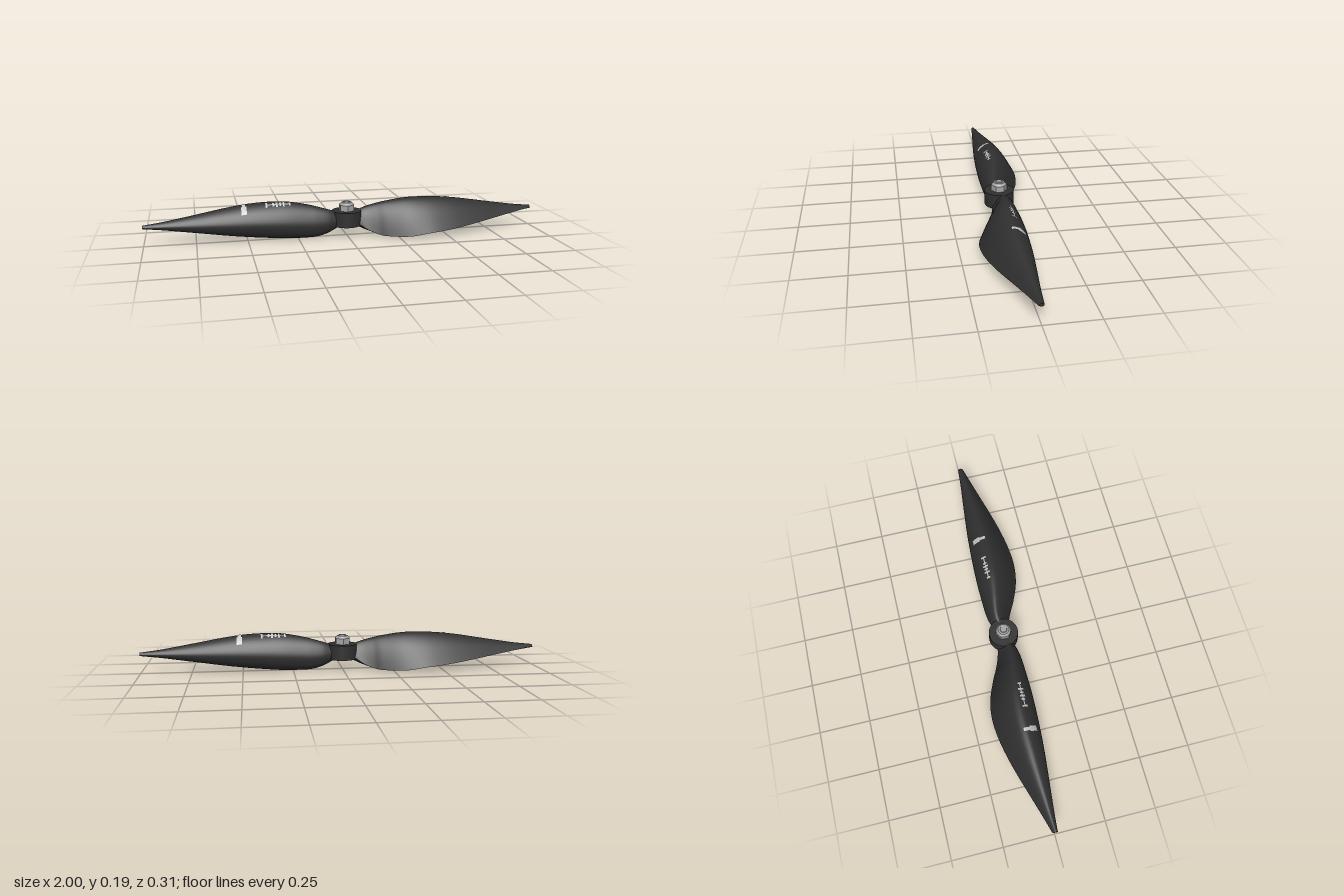
import * as THREE from 'three';

const bladeMat = new THREE.MeshStandardMaterial({ color: 0x303030 });
bladeMat.name = 'charcoal plastic';
const nutMat = new THREE.MeshStandardMaterial({ color: 0xa4a4a4 });
nutMat.name = 'grey metal';
const markMat = new THREE.MeshStandardMaterial({ color: 0xc4c4c4 });
markMat.name = 'pale marking';

// Blade stations: x, top y, bottom y, sharp edge z, round edge z, sharp edge height (0..1)
const stations = [
  [0.03, 0.128, 0.058, 0.042, -0.035, 0.3],
  [0.06, 0.132, 0.045, 0.045, -0.042, 0.22],
  [0.10, 0.145, 0.026, 0.056, -0.054, 0.1],
  [0.15, 0.159, 0.011, 0.078, -0.060, 0.04],
  [0.20, 0.171, 0.006, 0.104, -0.062, 0.03],
  [0.30, 0.187, 0.005, 0.143, -0.064, 0.05],
  [0.40, 0.189, 0.012, 0.157, -0.062, 0.1],
  [0.50, 0.183, 0.022, 0.150, -0.057, 0.11],
  [0.60, 0.170, 0.035, 0.131, -0.050, 0.12],
  [0.70, 0.153, 0.050, 0.105, -0.040, 0.13],
  [0.80, 0.136, 0.065, 0.075, -0.029, 0.15],
  [0.90, 0.120, 0.080, 0.045, -0.018, 0.18],
  [1.00, 0.108, 0.092, 0.016, -0.009, 0.3],
];
const curves = [1, 2, 3, 4, 5].map(
  (c) => new THREE.SplineCurve(stations.map((s) => new THREE.Vector2(s[0], s[c]))));

// Cross-section at spline parameter t, from the sharp edge over the top and back underneath
function section(t, count = 40) {
  const p = curves.map((c) => c.getPoint(t));
  const [top, bottom, sharp, round, edge] = p.map((v) => v.y);
  const profile = new THREE.SplineCurve([
    [1, edge], [0.87, 0.38 + edge * 0.2], [0.72, 0.7], [0.55, 0.92], [0.41, 1], [0.28, 0.96],
    [0.14, 0.81], [0.04, 0.6], [0, 0.42], [0.03, 0.24], [0.12, 0.08], [0.28, 0],
    [0.5, 0], [0.8, edge * 0.5], [1, edge],
  ].map((q) => new THREE.Vector2(...q)));
  return profile.getPoints(count).map((q) => new THREE.Vector3(
    p[0].x, bottom + q.y * (top - bottom), round + q.x * (sharp - round)));
}

function makeGeometry(points, index) {
  const g = new THREE.BufferGeometry().setFromPoints(points);
  g.setIndex(index);
  g.computeVertexNormals();
  return g;
}

// Triangles for a grid of rows by columns
function gridIndex(rows, cols) {
  const index = [];
  for (let i = 0; i < rows - 1; i++) {
    for (let j = 0; j < cols - 1; j++) {
      const a = i * cols + j, b = a + cols;
      index.push(a, b, a + 1, b, b + 1, a + 1);
    }
  }
  return index;
}

function bladeGeometry() {
  const rows = 61, loops = [];
  for (let i = 0; i < rows; i++) loops.push(section(i / (rows - 1)));
  const cols = loops[0].length;
  const points = loops.flat();
  const index = gridIndex(rows, cols);
  // End caps with their own corners
  [[loops[0], false], [loops[rows - 1], true]].forEach(([loop, tip]) => {
    const start = points.length;
    const centre = new THREE.Vector3();
    loop.forEach((p) => centre.addScaledVector(p, 1 / loop.length));
    points.push(centre, ...loop.map((p) => p.clone()));
    for (let j = 1; j < loop.length; j++) {
      if (tip) index.push(start, start + j + 1, start + j);
      else index.push(start, start + j, start + j + 1);
    }
  });
  return makeGeometry(points, index);
}

// Height of the upper blade surface at x, z
function surfaceY(x, z) {
  let lo = 0, hi = 1;
  for (let k = 0; k < 20; k++) {
    const mid = (lo + hi) / 2;
    if (curves[0].getPoint(mid).x < x) lo = mid; else hi = mid;
  }
  const loop = section(lo, 80);
  for (let j = 1; j < loop.length; j++) {
    const a = loop[j - 1], b = loop[j];
    if (b.z <= z) return THREE.MathUtils.mapLinear(z, a.z, b.z, a.y, b.y);
  }
  return 0.1;
}

// Thin painted patch that follows the blade
function patchGeometry(x, z, w, d) {
  const n = 6, points = [];
  for (let i = 0; i < n; i++) {
    for (let j = 0; j < n; j++) {
      const px = x + w * (i / (n - 1) - 0.5), pz = z + d * (0.5 - j / (n - 1));
      points.push(new THREE.Vector3(px, surfaceY(px, pz) + 0.002, pz));
    }
  }
  return makeGeometry(points, gridIndex(n, n));
}

export function createModel() {
  const model = new THREE.Group();
  model.name = 'propeller';
  const add = (parent, name, geometry, material, y = 0) => {
    const mesh = new THREE.Mesh(geometry, material);
    mesh.name = name;
    mesh.position.y = y;
    parent.add(mesh);
    return mesh;
  };

  // Two identical blades, half a turn apart
  const blade = bladeGeometry();
  const marks = [
    patchGeometry(0.516, -0.018, 0.026, 0.034),
    patchGeometry(0.516, 0.014, 0.016, 0.032),
  ];
  // Row of small dashes
  [0.29, 0.32, 0.337, 0.354, 0.371, 0.405].forEach((x, i) => {
    marks.push(patchGeometry(x, -0.006, 0.009, i % 2 ? 0.026 : 0.018));
  });
  marks.push(patchGeometry(0.348, -0.006, 0.12, 0.005));
  ['leftBlade', 'rightBlade'].forEach((name, i) => {
    const side = new THREE.Group();
    side.name = name;
    side.rotation.y = i * Math.PI;
    add(side, 'blade', blade, bladeMat);
    marks.forEach((m) => add(side, 'marking', m, markMat));
    model.add(side);
  });

  // Hub
  add(model, 'hub', new THREE.CylinderGeometry(0.073, 0.073, 0.075, 40), bladeMat, 0.094);

  // Hexagonal nut with a bevelled top and the shaft end
  const hex = (r1, r2, h) => new THREE.CylinderGeometry(r1, r2, h, 6).toNonIndexed();
  const nut = hex(0.04, 0.04, 0.032);
  nut.computeVertexNormals();
  add(model, 'nut', nut, nutMat, 0.146);
  add(model, 'nutBevel', new THREE.CylinderGeometry(0.027, 0.037, 0.012, 24), nutMat, 0.168);
  add(model, 'shaftEnd', new THREE.CylinderGeometry(0.016, 0.018, 0.006, 20), nutMat, 0.176);
  return model;
}
